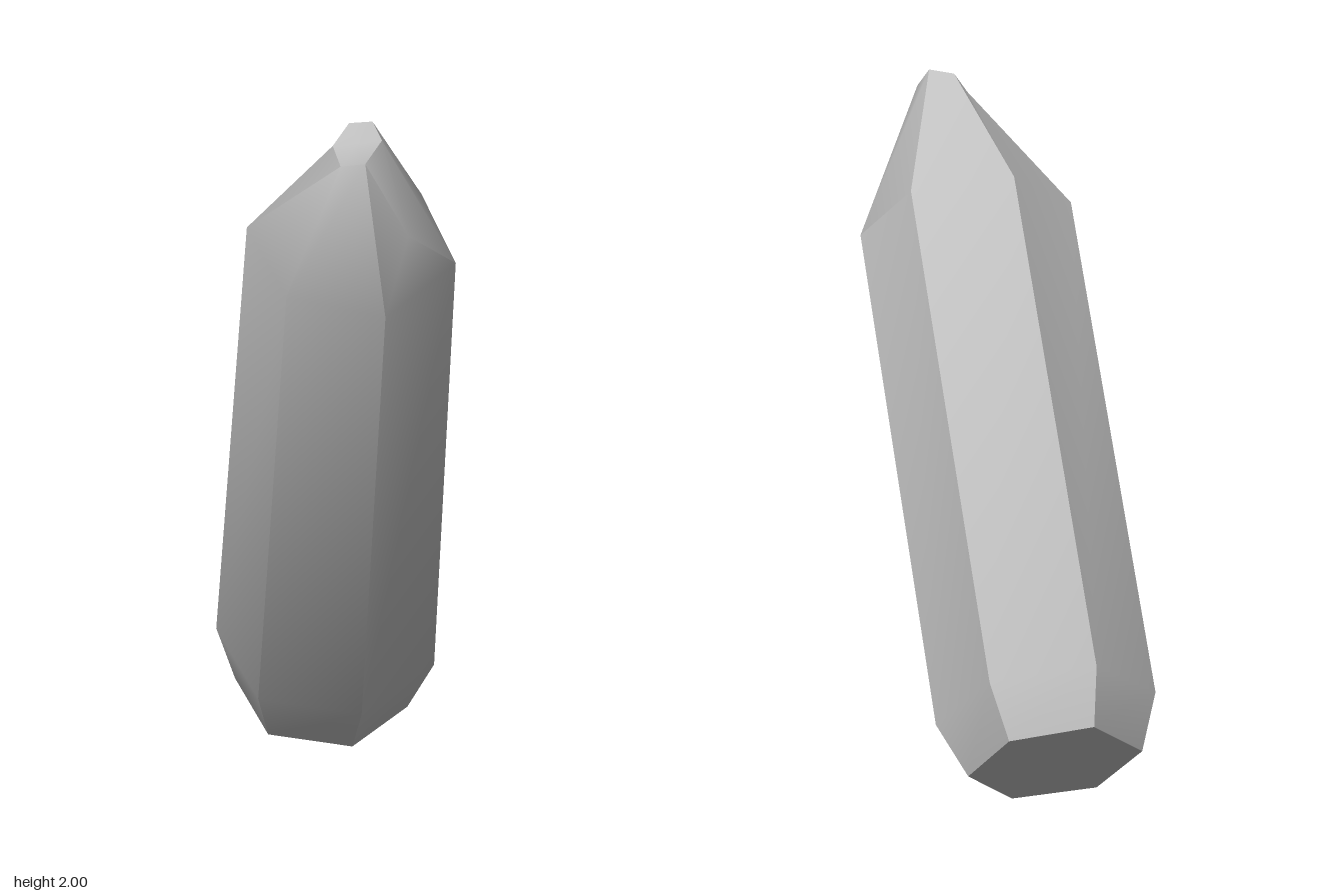
import * as THREE from 'three';
import { toCreasedNormals } from 'three/addons/utils/BufferGeometryUtils.js';

// Six-sided cross-sections of the leaning crystal, from base to tip
const rings = [
  [[-0.06, 0.26, -0.69], [0.18, 0.22, -0.635], [0.24, 0.09, -0.415], [0.07, 0, -0.28], [-0.17, 0.03, -0.33], [-0.25, 0.16, -0.53]],
  [[-0.08, 0.43, -0.645], [0.22, 0.385, -0.57], [0.31, 0.23, -0.32], [0.085, 0.12, -0.13], [-0.21, 0.16, -0.19], [-0.31, 0.32, -0.46]],
  [[-0.06, 1.75, 0.15], [0.23, 1.71, 0.22], [0.31, 1.55, 0.47], [0.09, 1.43, 0.675], [-0.19, 1.48, 0.59], [-0.285, 1.64, 0.34]],
  [[-0.01, 1.99, 0.605], [0.055, 2, 0.64], [0.08, 1.95, 0.675], [0.03, 1.885, 0.695], [-0.04, 1.875, 0.675], [-0.06, 1.93, 0.64]],
].map(ring => ring.map(p => new THREE.Vector3(...p)));

// Slightly swollen point on one front facet of the crown
const swell = new THREE.Vector3(0.16, 1.66, 0.632);

function fan(out, center, loop) {
  loop.forEach((p, i) => out.push(center, p, loop[(i + 1) % loop.length]));
}

function buildMesh(name, points, material) {
  const geometry = new THREE.BufferGeometry().setFromPoints(points);
  const mesh = new THREE.Mesh(toCreasedNormals(geometry, THREE.MathUtils.degToRad(42)), material);
  mesh.name = name;
  return mesh;
}

export function createModel() {
  const group = new THREE.Group();
  group.name = 'crystal';
  const stone = new THREE.MeshStandardMaterial({ color: 0xc0c0c0 });
  stone.name = 'pale grey stone';

  const points = [];
  // Base bevel, shaft and crown facets
  for (let r = 0; r < 3; r++) {
    for (let i = 0; i < 6; i++) {
      const j = (i + 1) % 6;
      const [a, b, c, d] = [rings[r][j], rings[r][i], rings[r + 1][i], rings[r + 1][j]];
      if (r === 2 && i === 2) fan(points, swell, [a, b, c, d]);
      else points.push(a, b, c, a, c, d);
    }
  }
  // Flat base and small slanted tip face
  const middle = ring => ring.reduce((s, p) => s.add(p), new THREE.Vector3()).divideScalar(6);
  fan(points, middle(rings[0]), rings[0]);
  fan(points, middle(rings[3]), [...rings[3]].reverse());

  group.add(buildMesh('crystalShard', points, stone));
  return group;
}
